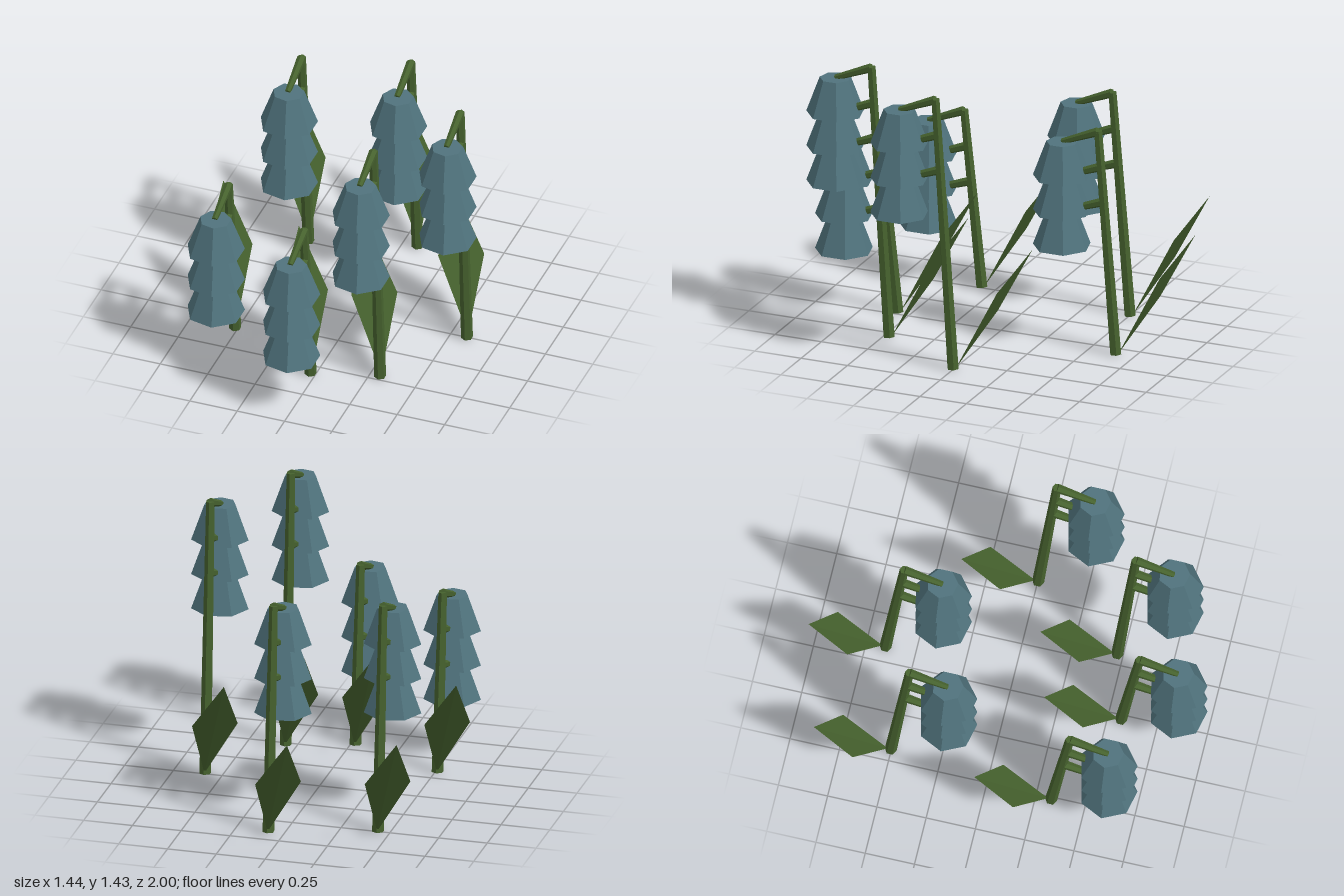
import * as THREE from 'three';

const green = new THREE.MeshStandardMaterial({ color: 0x46622e, flatShading: true, side: THREE.DoubleSide });
green.name = 'stemGreen';
const blue = new THREE.MeshStandardMaterial({ color: 0x50737d, flatShading: true });
blue.name = 'bellBlue';

const LEAN = 0.095;       // forward lean of a stem at its top
const BELL_Z = 0.288;     // bell axis in front of the stem base
const TIER = 0.183;       // height of one bell tier

function addMesh(parent, name, geometry, material) {
  const mesh = new THREE.Mesh(geometry, material);
  mesh.name = name;
  parent.add(mesh);
  return mesh;
}

// Tapered six-sided rod between two points
function addRod(parent, name, from, to, r0, r1) {
  const dir = to.clone().sub(from);
  const rod = addMesh(parent, name, new THREE.CylinderGeometry(r1, r0, dir.length(), 6), green);
  rod.position.copy(from).addScaledVector(dir, 0.5);
  rod.quaternion.setFromUnitVectors(new THREE.Vector3(0, 1, 0), dir.normalize());
}

// Flat diamond leaf leaning back and to one side
function leafGeometry() {
  const geometry = new THREE.BufferGeometry();
  geometry.setAttribute('position', new THREE.Float32BufferAttribute([
    0, 0.005, -0.015,
    0, 0.345, -0.242,
    -0.192, 0.615, -0.345,
    -0.207, 0.345, -0.145,
  ], 3));
  geometry.setIndex([0, 1, 2, 0, 2, 3]);
  geometry.computeVertexNormals();
  return geometry;
}

function makePlant(height) {
  const plant = new THREE.Group();
  plant.name = 'bellPlant';

  addRod(plant, 'stem', new THREE.Vector3(0, 0, 0), new THREE.Vector3(0, height + 0.01, LEAN), 0.03, 0.022);
  addMesh(plant, 'leaf', leafGeometry(), green);

  // Three stacked bell tiers, each hung from its own branch
  const bellTop = height - 0.075;
  for (let i = 0; i < 3; i++) {
    const top = bellTop - i * TIER;
    const start = top + 0.08;
    addRod(plant, 'branch',
      new THREE.Vector3(0, start, LEAN * start / height),
      new THREE.Vector3(0, top, BELL_Z), 0.023, 0.015);
    const tier = addMesh(plant, 'bellTier',
      new THREE.CylinderGeometry(0.079, 0.146, TIER, 7, 1, false, -Math.PI / 2), blue);
    tier.position.set(0.004, top - TIER / 2, BELL_Z);
  }
  return plant;
}

export function createModel() {
  const model = new THREE.Group();
  model.name = 'bellPlants';
  // x, z of the stem base and stem height
  const plants = [
    [-0.44, -0.503, 1.155],
    [0.08, -0.653, 1.155],
    [0.587, 0.002, 1.4],
    [0.305, 0.47, 1.4],
    [-0.513, 0.328, 0.91],
    [-0.025, 0.567, 0.91],
  ];
  for (const [x, z, height] of plants) {
    const plant = makePlant(height);
    plant.position.set(x, 0, z);
    model.add(plant);
  }
  return model;
}
